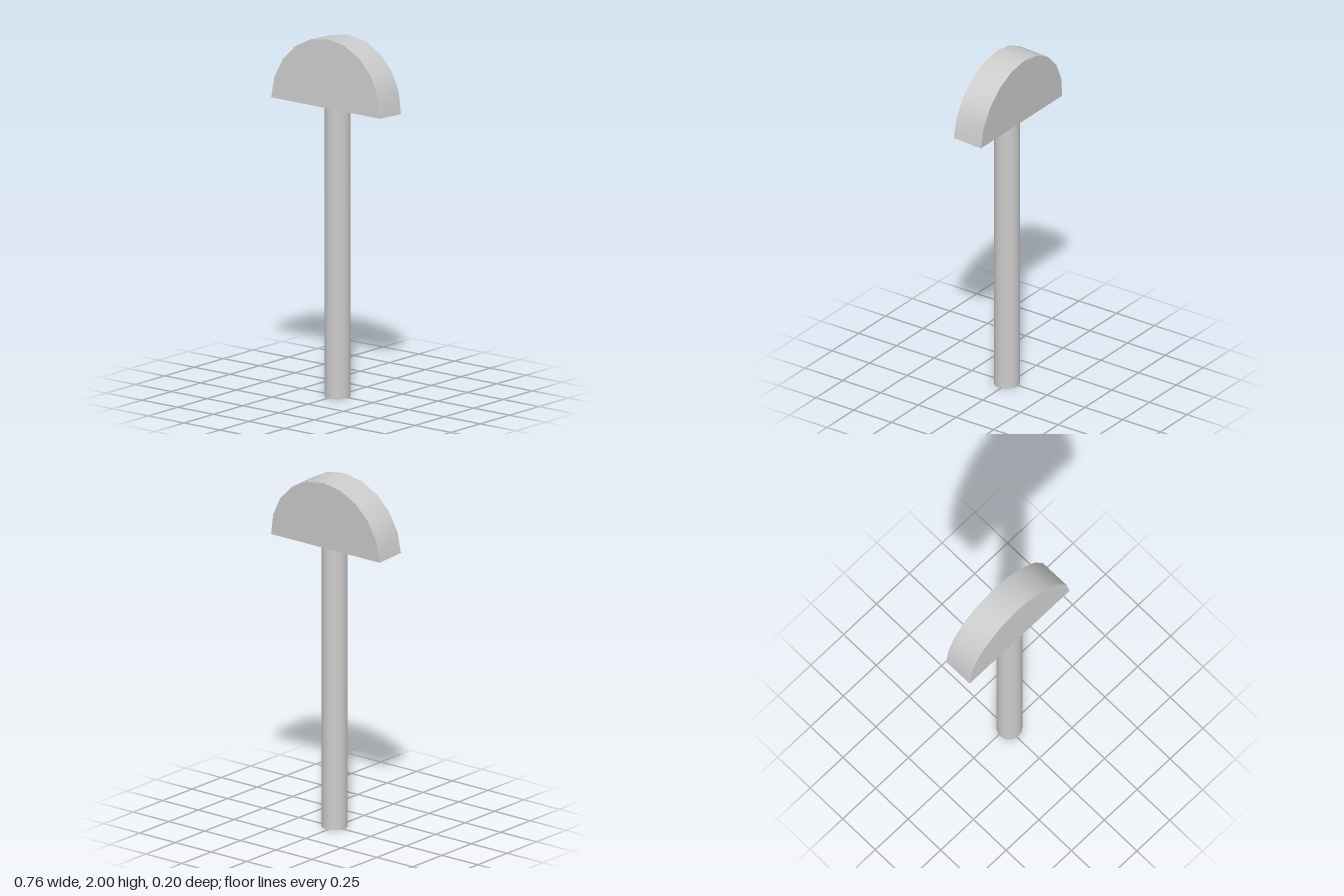
import * as THREE from 'three';
import { toCreasedNormals } from 'three/addons/utils/BufferGeometryUtils.js';

export function createModel() {
  const model = new THREE.Group();
  const material = new THREE.MeshStandardMaterial({ color: 0xcccccc });

  // Round shaft, slightly off centre
  const shaftHeight = 1.62;
  const shaft = new THREE.Mesh(new THREE.CylinderGeometry(0.07, 0.07, shaftHeight, 32), material);
  shaft.name = 'shaft';
  shaft.position.set(0.01, shaftHeight / 2, 0.01);
  model.add(shaft);

  // Half-disc head: ten-sided arc, flat underside, leaning slightly back
  const radius = 0.38, depth = 0.18, segments = 10;
  const outline = [];
  for (let i = 0; i <= segments; i++) {
    const a = (i / segments) * Math.PI;
    outline.push(new THREE.Vector2(radius * Math.cos(a), radius * Math.sin(a)));
  }
  const headGeometry = new THREE.ExtrudeGeometry(new THREE.Shape(outline), { depth, bevelEnabled: false });
  headGeometry.translate(0, 0, -depth / 2);
  const head = new THREE.Mesh(toCreasedNormals(headGeometry, 0.6), material);
  head.name = 'head';
  head.position.set(0, 1.616, 0.01);
  head.rotation.x = -0.052;
  model.add(head);

  return model;
}
